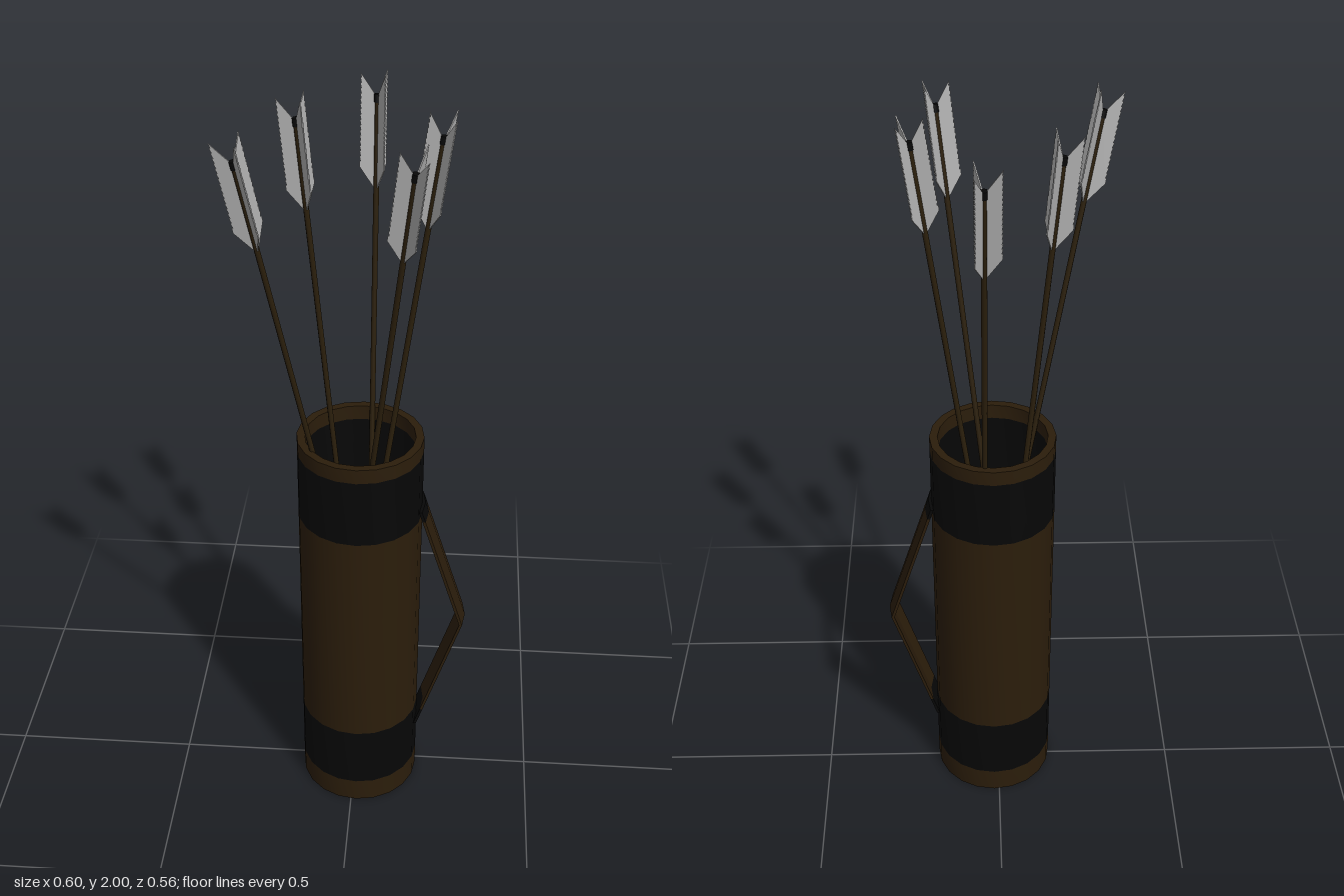
import * as THREE from 'three';
import { toCreasedNormals } from 'three/addons/utils/BufferGeometryUtils.js';

const mat = (name, color) => new THREE.MeshStandardMaterial({ name, color });
const leather = mat('brown leather', 0x2b1d0b);
const band = mat('black band', 0x070707);
const wood = mat('shaft wood', 0x2b1f0c);
const feather = mat('pale grey feather', 0xb0b0b0);
const metal = mat('arrowhead metal', 0x8c8c8c);

const CX = 0.014, CZ = 0.02, R = 0.163, INNER = 0.142, H = 1.14, SIDES = 20;

function add(parent, name, geometry, material) {
  const mesh = new THREE.Mesh(geometry, material);
  mesh.name = name;
  parent.add(mesh);
  return mesh;
}

function lathe(points) {
  const profile = points.map(([x, y]) => new THREE.Vector2(x, y));
  return toCreasedNormals(new THREE.LatheGeometry(profile, SIDES), 0.6);
}

// Swept-back feather vane with a finely toothed outer edge
function vaneGeometry() {
  const width = 0.042, teeth = 18, low = -0.225, sweep = 0.06, step = -low / teeth;
  const shape = new THREE.Shape();
  shape.moveTo(0, low);
  shape.lineTo(width, low + sweep);
  for (let i = 0; i < teeth; i++) {
    const y = low + sweep + (i + 1) * step;
    shape.lineTo(width, y);
    if (i < teeth - 1) shape.lineTo(width - 0.003, y);
  }
  shape.lineTo(0, 0);
  const geometry = new THREE.ExtrudeGeometry(shape, { depth: 0.003, bevelEnabled: false });
  return geometry.translate(0, 0, -0.0015);
}

// Straight piece of the chevron strap, pulled outwards towards mid-height
function strapPiece(y0, y1) {
  const geometry = new THREE.BoxGeometry(0.008, y1 - y0, 0.1, 1, 1, 2);
  geometry.translate(0, (y0 + y1) / 2, 0);
  const p = geometry.attributes.position;
  for (let i = 0; i < p.count; i++) {
    const out = 0.117 * (1 - Math.abs(p.getY(i) - 0.57) / 0.37);
    const bow = 0.007 * (1 - Math.abs(p.getZ(i)) / 0.05);
    p.setX(i, p.getX(i) + out + bow);
  }
  return toCreasedNormals(geometry, 0.1);
}

const vane = vaneGeometry();

// Arrow from its low end to its nock; phase turns the three vanes
function arrow(low, top, phase) {
  const group = new THREE.Group();
  group.name = 'arrow';
  const from = new THREE.Vector3(...low), to = new THREE.Vector3(...top);
  const direction = to.clone().sub(from), length = direction.length();
  group.position.copy(from);
  group.quaternion.setFromUnitVectors(new THREE.Vector3(0, 1, 0), direction.normalize());

  const shaft = add(group, 'shaft', new THREE.CylinderGeometry(0.007, 0.007, length, 8), wood);
  shaft.position.y = length / 2;
  const nock = add(group, 'nock', new THREE.CylinderGeometry(0.009, 0.009, 0.02, 8), band);
  nock.position.y = length;

  // Flat diamond-section head pointing down
  const head = add(group, 'arrowhead', new THREE.ConeGeometry(0.025, 0.1, 4).toNonIndexed(), metal);
  head.geometry.computeVertexNormals();
  head.rotation.x = Math.PI;
  head.scale.x = 0.32;
  head.position.y = -0.04;

  for (let i = 0; i < 3; i++) {
    const fin = add(group, 'vane', vane, feather);
    fin.position.y = length;
    fin.rotation.y = -(phase + i * Math.PI * 2 / 3);
  }
  return group;
}

export function createModel() {
  const model = new THREE.Group();
  model.name = 'quiver';

  // Hollow case: base, rim and wall sections, banded inside and out
  const body = new THREE.Group();
  body.name = 'case';
  body.position.set(CX, 0, CZ);
  model.add(body);
  add(body, 'base', lathe([[0, 0], [R, 0], [R, 0.07]]), leather);
  add(body, 'floor', lathe([[INNER, 0.07], [INNER, 0.03], [0, 0.03]]), leather);
  add(body, 'rim', lathe([[R, 1.1], [R, H], [INNER, H], [INNER, 1.1]]), leather);
  const sections = [
    ['lowerBand', 0.07, 0.255, band],
    ['wall', 0.255, 0.91, leather],
    ['upperBand', 0.91, 1.1, band],
  ];
  for (const [name, y0, y1, material] of sections) {
    add(body, name, lathe([[R, y0], [R, y1]]), material);
    add(body, name + 'Inside', lathe([[INNER, y1], [INNER, y0]]), material);
  }

  // Strap, black where its ends meet the bands
  const pieces = [[0.2, 0.255, band], [0.255, 0.57, leather], [0.57, 0.91, leather], [0.91, 0.94, band]];
  for (const [y0, y1, material] of pieces) {
    const piece = add(model, 'strap', strapPiece(y0, y1), material);
    piece.position.set(0.174, 0, CZ);
  }

  // Leaning arrows
  const arrows = [
    [[0.013, 0.25, -0.067], [-0.142, 1.93, -0.067], Math.PI],
    [[0.036, 0.25, 0.015], [0.036, 1.93, -0.236], Math.PI],
    [[0.065, 0.25, -0.01], [-0.249, 1.93, 0.197], Math.PI],
    [[-0.047, 0.25, -0.037], [0.145, 1.93, 0.237], 0.97],
    [[-0.03, 0.25, 0.02], [0.2, 1.93, 0.02], Math.PI],
  ];
  for (const [low, top, phase] of arrows) model.add(arrow(low, top, phase));
  return model;
}
